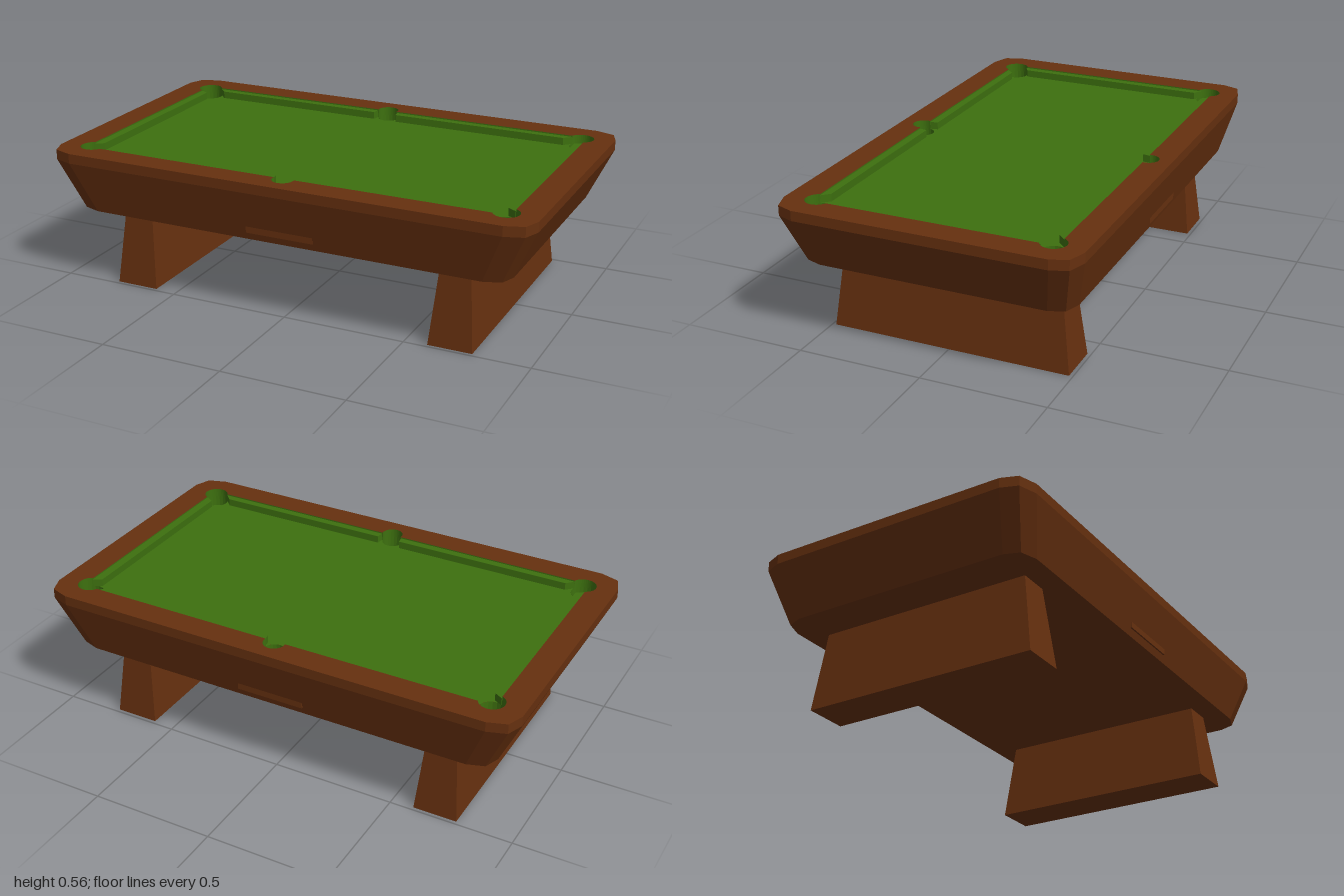
import * as THREE from 'three';

const wood = new THREE.MeshStandardMaterial({ color: 0x66300f, flatShading: true, side: THREE.DoubleSide });
const felt = new THREE.MeshStandardMaterial({ color: 0x3d700f, flatShading: true, side: THREE.DoubleSide });

const TOP = 0.565, BED = 0.53, FLOOR = 0.485, BASE = 0.32;
const RIM_X = 0.89, RIM_Z = 0.486;

function add(parent, name, geometry, material) {
  const mesh = new THREE.Mesh(geometry, material);
  mesh.name = name;
  parent.add(mesh);
  return mesh;
}

// Joins rings of [x, y, z] points with quads; rings run bottom to top for an outward skin
function loft(rings) {
  const n = rings[0].length, index = [];
  for (let r = 0; r < rings.length - 1; r++) {
    for (let i = 0; i < n; i++) {
      const a = r * n + i, b = r * n + (i + 1) % n;
      index.push(a, a + n, b, b, a + n, b + n);
    }
  }
  const indexed = new THREE.BufferGeometry();
  indexed.setAttribute('position', new THREE.Float32BufferAttribute(rings.flat(2), 3));
  indexed.setIndex(index);
  const geometry = indexed.toNonIndexed();
  geometry.computeVertexNormals();
  return geometry;
}

const ring = (points, y, sx = 1, sz = 1) => points.map(p => [p.x * sx, y, p.y * sz]);

const flat = (shape, y, up = true) =>
  new THREE.ShapeGeometry(shape).rotateX(up ? -Math.PI / 2 : Math.PI / 2).translate(0, y, 0);

// Outer outline of the table with faceted corners
function outline() {
  const q = [[1, 0.5], [0.975, 0.567], [0.9, 0.592]];
  const list = [];
  for (const [sx, sz] of [[1, 1], [-1, 1], [-1, -1], [1, -1]]) {
    const corner = q.map(([x, z]) => new THREE.Vector2(x * sx, z * sz));
    list.push(...(sx * sz > 0 ? corner : corner.reverse()));
  }
  return list;
}

// Six pockets: centre, radius, and the angles where each circle meets the rim
const pockets = [
  [0.87, 0.465, 0.05, -66.4, 156.4], [0, 0.495, 0.043, -12, 192],
  [-0.87, 0.465, 0.05, 23.6, 246.4], [-0.87, -0.465, 0.05, 113.6, 336.4],
  [0, -0.495, 0.043, 168, 372], [0.87, -0.465, 0.05, 203.6, 426.4],
];

// Rectangle with the pockets added (inward = false) or bitten out (inward = true)
function playArea(PathType, inward) {
  const path = new PathType();
  for (const [x, z, r, from, to] of pockets) {
    path.absarc(x, z, r, THREE.MathUtils.degToRad(from), THREE.MathUtils.degToRad(to), inward);
  }
  return path;
}

export function createModel() {
  const table = new THREE.Group();
  table.name = 'poolTable';
  const outer = outline();

  // Body: upright rim band and tapering apron
  add(table, 'apron', loft([
    ring(outer, BASE, 0.905, 0.912), ring(outer, 0.525), ring(outer, TOP),
  ]), wood);
  const base = new THREE.Shape(outer.map(p => new THREE.Vector2(p.x * 0.905, p.y * 0.912)));
  add(table, 'underside', flat(base, BASE, false), wood);

  // Shallow belly sagging to the middle between the legs
  const belly = [[0.62, 0.537], [-0.62, 0.537], [-0.62, -0.537], [0.62, -0.537]].map(p => new THREE.Vector2(...p));
  add(table, 'belly', loft([ring(belly, 0.275, 0, 0), ring(belly, BASE - 0.001)]), wood);

  // Rail top with the opening for bed and pockets
  const rail = new THREE.Shape(outer);
  rail.holes.push(playArea(THREE.Path, false));
  add(table, 'railTop', flat(rail, TOP), wood);

  // Felt lining of the opening, and the bed
  const lining = playArea(THREE.Path, false).getPoints(12);
  add(table, 'lining', loft([ring(lining, TOP), ring(lining, FLOOR)]), felt);
  add(table, 'bed', flat(playArea(THREE.Shape, true), BED), felt);

  // Pocket wells
  for (const [x, z, r] of pockets) {
    const pocket = new THREE.Group();
    pocket.name = 'pocket';
    pocket.position.set(x, 0, z);
    const wall = new THREE.CylinderGeometry(r, r, BED - FLOOR, 20, 1, true);
    add(pocket, 'pocketWall', wall.translate(0, (BED + FLOOR) / 2, 0), felt);
    add(pocket, 'pocketFloor', new THREE.CircleGeometry(r, 20).rotateX(-Math.PI / 2).translate(0, FLOOR, 0), felt);
    table.add(pocket);
  }

  // Cushions, cut at an angle beside the pockets
  const cushion = (points) => {
    const shape = new THREE.Shape(points.map(p => new THREE.Vector2(...p)));
    const geometry = new THREE.ExtrudeGeometry(shape, { depth: 0.03, bevelEnabled: false });
    add(table, 'cushion', geometry.rotateX(-Math.PI / 2).translate(0, BED, 0), felt);
  };
  for (const s of [1, -1]) {
    cushion([[0.857, -0.405], [RIM_X, -0.425], [RIM_X, 0.425], [0.857, 0.405]].map(([x, z]) => [x * s, z]));
    for (const t of [1, -1]) {
      cushion([[0.05, 0.455], [0.795, 0.455], [0.825, RIM_Z], [0.045, RIM_Z]].map(([x, z]) => [x * s, z * t]));
    }
  }

  // Ball-return trays on both long sides
  for (const s of [1, -1]) {
    add(table, 'returnTray', new THREE.BoxGeometry(0.28, 0.033, 0.04), wood).position.set(0.01 * s, 0.367, 0.534 * s);
  }

  // Slab legs, wider at the foot
  for (const s of [1, -1]) {
    const leg = new THREE.BoxGeometry(1, BASE, 1).translate(0, BASE / 2, 0);
    const pos = leg.attributes.position;
    for (let i = 0; i < pos.count; i++) {
      const high = pos.getY(i) > 0.1;
      pos.setX(i, pos.getX(i) * (high ? 0.12 : 0.178));
      pos.setZ(i, pos.getZ(i) * (high ? 0.89 : 0.97));
    }
    leg.computeVertexNormals();
    add(table, 'leg', leg, wood).position.x = 0.68 * s;
  }
  return table;
}
